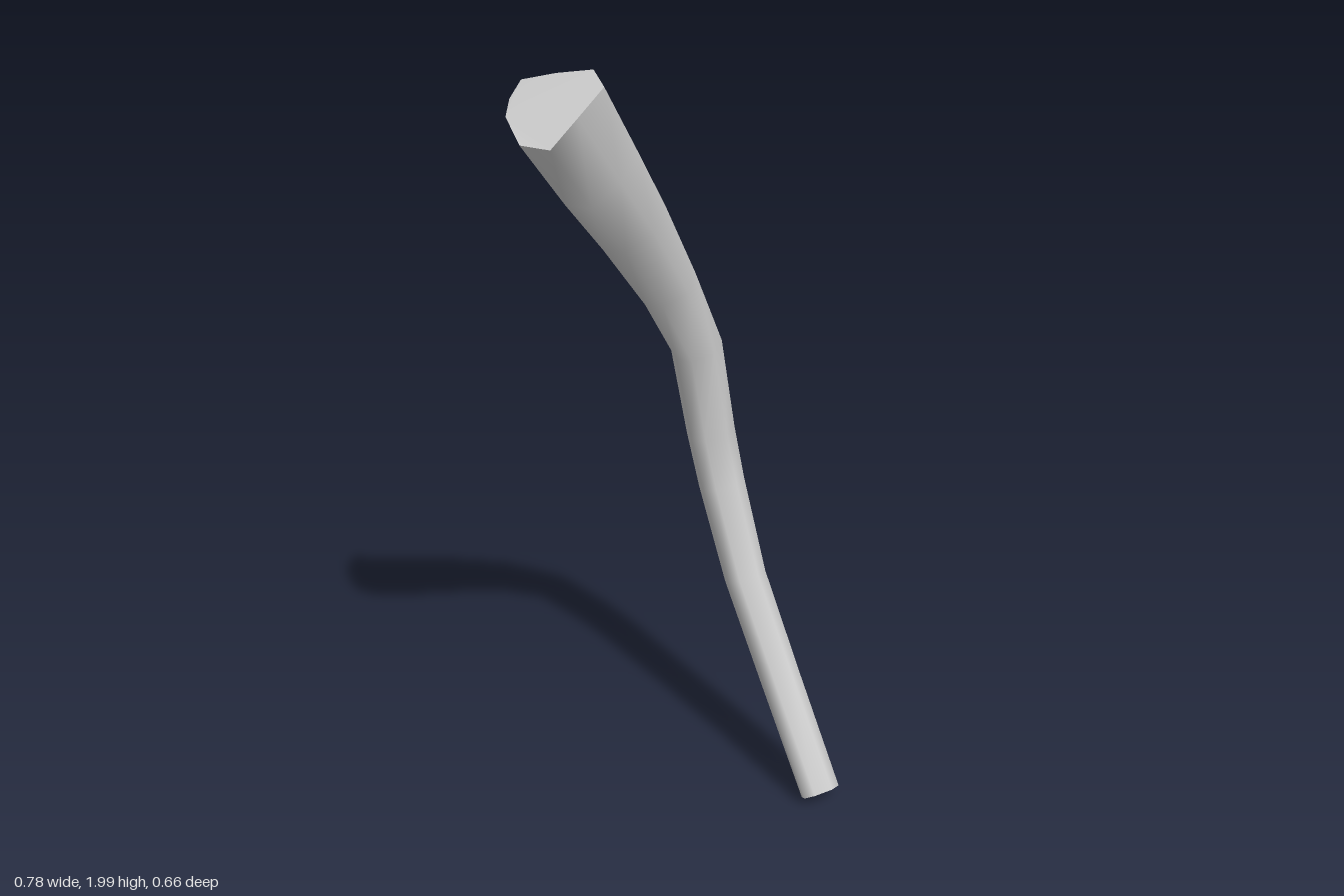
import * as THREE from 'three';

const V = (x, y, z) => new THREE.Vector3(x, y, z);

// Outline of the thick upper end, counterclockwise seen from outside
const END = [
  [-0.39, 1.9, 0.235], [-0.35, 1.857, 0.305], [-0.28, 1.855, 0.333],
  [-0.225, 1.915, 0.293], [-0.173, 1.972, 0.25], [-0.2, 2.0, 0.212],
  [-0.285, 1.985, 0.185], [-0.365, 1.965, 0.165], [-0.387, 1.93, 0.195],
].map((p) => V(...p));

// Centre line from the upper end down to the foot: x, y, z, radius
const SPINE = [
  [-0.283, 1.924, 0.248, 0.1], [-0.215, 1.75, 0.118, 0.096], [-0.155, 1.6, 0.0, 0.089],
  [-0.08, 1.4, -0.137, 0.077], [-0.013, 1.2, -0.23, 0.067], [0.022, 0.95, -0.265, 0.064],
  [0.052, 0.8, -0.261, 0.062], [0.12, 0.55, -0.207, 0.057], [0.222, 0.3, -0.104, 0.055],
  [0.339, 0.035, 0.036, 0.053],
];

// Carry the end outline along the spine, rounding it into a circle
function makeRings() {
  const centres = SPINE.map(([x, y, z]) => V(x, y, z));
  const last = centres.length - 1;
  const tangents = centres.map((c, k) =>
    centres[Math.max(k - 1, 0)].clone().sub(centres[Math.min(k + 1, last)]).normalize());
  let offsets = END.map((p) => p.clone().sub(centres[0]));
  const rings = [END];
  for (let k = 1; k <= last; k++) {
    const turn = new THREE.Quaternion().setFromUnitVectors(tangents[k - 1], tangents[k]);
    offsets = offsets.map((o) => o.clone().applyQuaternion(turn));
    const round = Math.min(k / 3, 1);
    rings.push(offsets.map((o) => {
      const flat = o.clone().addScaledVector(tangents[k], -o.dot(tangents[k]));
      const r = SPINE[k][3];
      const shaped = flat.length() * r / SPINE[0][3];
      return flat.setLength(THREE.MathUtils.lerp(shaped, r, round)).add(centres[k]);
    }));
  }
  return rings;
}

function geometry(points, index) {
  const g = new THREE.BufferGeometry().setFromPoints(points);
  g.setIndex(index);
  g.computeVertexNormals();
  return g;
}

// Flat fan closing one end
function capGeometry(ring) {
  const index = [];
  for (let i = 1; i < ring.length - 1; i++) index.push(0, i, i + 1);
  return geometry(ring, index);
}

export function createModel() {
  const group = new THREE.Group();
  group.name = 'bentStick';
  const material = new THREE.MeshStandardMaterial({ color: 0xcccccc });
  const add = (name, geo) => {
    const mesh = new THREE.Mesh(geo, material);
    mesh.name = name;
    group.add(mesh);
  };

  // Smooth bent shaft
  const rings = makeRings();
  const n = END.length;
  const index = [];
  for (let k = 0; k < rings.length - 1; k++) {
    for (let i = 0; i < n; i++) {
      const j = (i + 1) % n;
      const a = k * n + i, b = k * n + j, c = a + n, d = b + n;
      index.push(c, d, b, c, b, a);
    }
  }
  add('shaft', geometry(rings.flat(), index));

  // Flat cut ends
  add('upperEnd', capGeometry(rings[0]));
  add('lowerEnd', capGeometry([...rings[rings.length - 1]].reverse()));
  return group;
}
